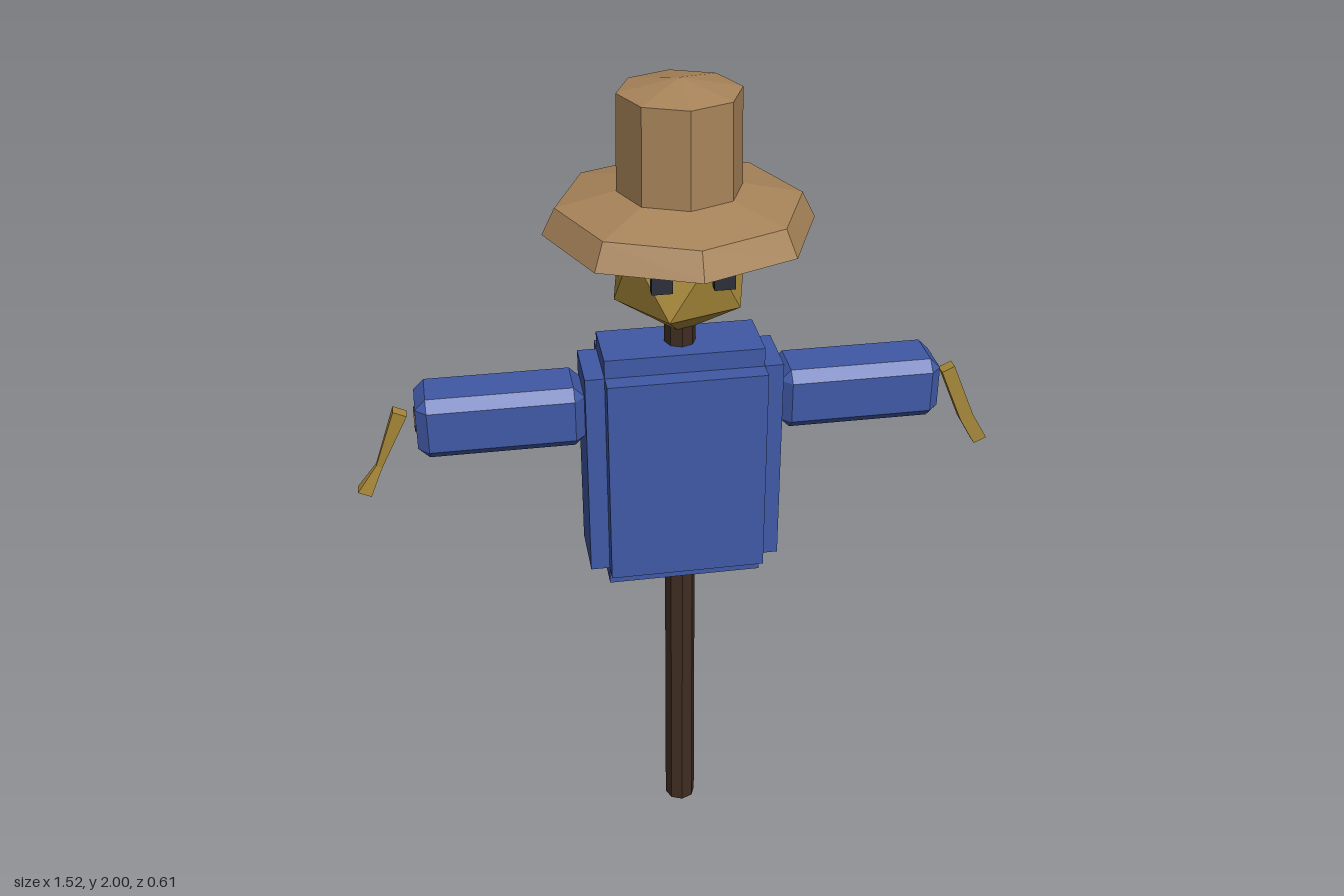
import * as THREE from 'three';
import { ConvexGeometry } from 'three/addons/geometries/ConvexGeometry.js';

const material = (color) => new THREE.MeshStandardMaterial({ color, flatShading: true });
const cloth = material(0x4059a6);
const wood = material(0x3f2c22);
const straw = material(0xa8893a);
const felt = material(0xa8845a);
const dark = material(0x2b2f38);

function add(parent, name, geometry, mat, x = 0, y = 0, z = 0) {
  const mesh = new THREE.Mesh(geometry, mat);
  mesh.name = name;
  mesh.position.set(x, y, z);
  parent.add(mesh);
  return mesh;
}

// Box with every edge cut by c
function chamferBox(w, h, d, c) {
  const points = [];
  for (const x of [-1, 1]) for (const y of [-1, 1]) for (const z of [-1, 1]) {
    for (let axis = 0; axis < 3; axis++) {
      const p = [w / 2 - c, h / 2 - c, d / 2 - c];
      p[axis] += c;
      points.push(new THREE.Vector3(x * p[0], y * p[1], z * p[2]));
    }
  }
  return new ConvexGeometry(points);
}

// Twenty-sided head: two staggered rings of five and two poles
function headGeometry(r) {
  const points = [new THREE.Vector3(0, r, 0), new THREE.Vector3(0, -r, 0)];
  for (let i = 0; i < 5; i++) {
    const a = (i * Math.PI * 2) / 5;
    const x = Math.cos(a) * r * 0.894, z = Math.sin(a) * r * 0.894, y = r * 0.447;
    points.push(new THREE.Vector3(x, y, z), new THREE.Vector3(-x, -y, z));
  }
  return new ConvexGeometry(points);
}

// Bent square strand made of two convex pieces; pinch narrows the bend
function addStrand(parent, side, pinch) {
  const hand = new THREE.Group();
  hand.name = side > 0 ? 'leftHand' : 'rightHand';
  const ring = (x, y, w) => {
    const points = [];
    for (const u of [-1, 1]) for (const z of [-1, 1]) {
      points.push(new THREE.Vector3(side * (x + u * 0.015 * w), y + u * 0.007 * w, z * 0.015 * w));
    }
    return points;
  };
  const rings = [ring(0.648, 1.258, 1), ring(0.707, 1.12, pinch), ring(0.747, 1.052, 1)];
  for (let i = 0; i < 2; i++) {
    add(hand, 'strawStrand', new ConvexGeometry([...rings[i], ...rings[i + 1]]), straw);
  }
  parent.add(hand);
}

export function createModel() {
  const model = new THREE.Group();
  model.name = 'scarecrow';

  // Post and crossbar
  add(model, 'post', new THREE.CylinderGeometry(0.036, 0.039, 1.46, 8), wood, 0, 0.73, 0);
  add(model, 'crossbar', new THREE.CylinderGeometry(0.03, 0.03, 1.234, 8), wood, 0, 1.235, 0)
    .rotation.z = Math.PI / 2;

  // Stepped torso from three crossing slabs
  const torso = new THREE.Group();
  torso.name = 'torso';
  for (const [w, h, d] of [[0.46, 0.52, 0.15], [0.37, 0.61, 0.15], [0.37, 0.52, 0.24]]) {
    add(torso, 'torsoSlab', new THREE.BoxGeometry(w, h, d), cloth, 0, 1.08, 0);
  }
  model.add(torso);

  // Sleeves, straw hands and eyes on both sides
  for (const side of [-1, 1]) {
    const label = side > 0 ? 'left' : 'right';
    add(model, label + 'Sleeve', chamferBox(0.385, 0.15, 0.15, 0.025), cloth, side * 0.421, 1.235, 0);
    addStrand(model, side, side > 0 ? 1 : 0.45);
    add(model, label + 'Eye', new THREE.BoxGeometry(0.046, 0.046, 0.025), dark, side * 0.068, 1.612, 0.167);
  }

  // Head
  add(model, 'head', headGeometry(0.168), straw, 0, 1.575, 0);

  // Hat: flat underside, sloping brim, tall crown with a shallow peak
  const profile = [[0, 1.667], [0.305, 1.667], [0.275, 1.727], [0.14, 1.757], [0.136, 1.973], [0, 2]]
    .map(([x, y]) => new THREE.Vector2(x, y));
  add(model, 'hat', new THREE.LatheGeometry(profile, 8), felt);

  return model;
}
